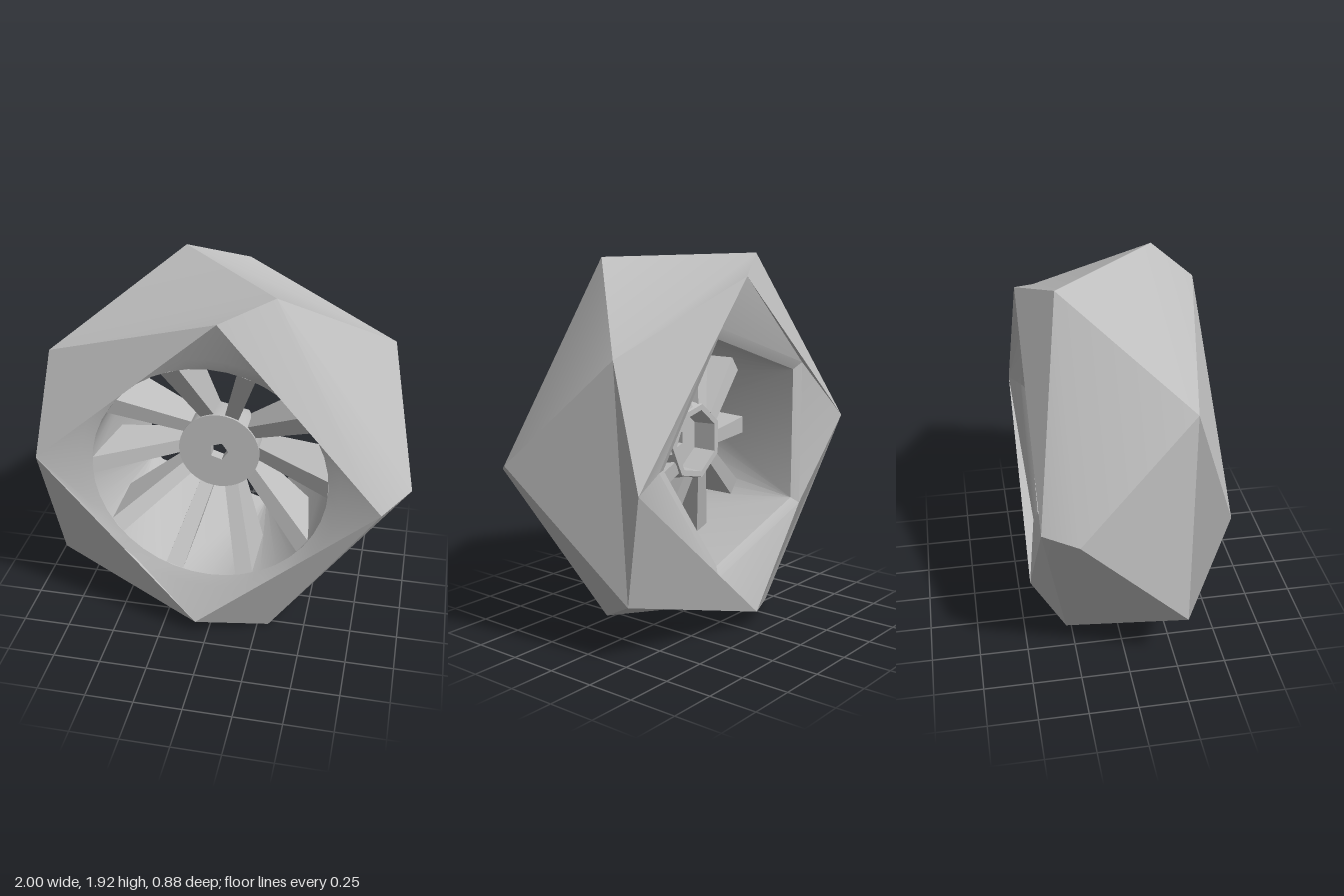
import * as THREE from 'three';
import { toCreasedNormals } from 'three/addons/utils/BufferGeometryUtils.js';

const CENTRE_Y = 0.951;

// Regular polygon ring facing +z: side count, radius, depth and start angle in degrees
const ring = (sides, radius, z, start = 0) => ({ sides, radius, z, start });

// Skin that joins rings in order; neighbouring rings may differ in side count
function loft(rings, closed, crease) {
  const pos = [];
  const angle = (r, i) => r.start + (i * 360) / r.sides;
  const put = (r, i) => {
    const a = THREE.MathUtils.degToRad(angle(r, i));
    pos.push(r.radius * Math.cos(a), r.radius * Math.sin(a), r.z);
  };
  const last = closed ? rings.length : rings.length - 1;
  for (let n = 0; n < last; n++) {
    const a = rings[n], b = rings[(n + 1) % rings.length];
    // start on the corner of b nearest to the first corner of a
    const j0 = Math.round(((a.start - b.start) * b.sides) / 360);
    let i = 0, j = j0;
    while (i < a.sides || j < j0 + b.sides) {
      const stepA = j >= j0 + b.sides ||
        (i < a.sides && angle(a, i + 0.5) <= angle(b, j + 0.5));
      put(a, i);
      put(b, j);
      if (stepA) put(a, ++i);
      else put(b, ++j);
    }
  }
  const geo = new THREE.BufferGeometry();
  geo.setAttribute('position', new THREE.Float32BufferAttribute(pos, 3));
  return toCreasedNormals(geo, crease);
}

// Tapered bar along +x that slopes back from the rim to the hub
function spokeGeometry() {
  const geo = new THREE.BoxGeometry(1, 1, 1);
  const p = geo.attributes.position;
  for (let i = 0; i < p.count; i++) {
    const outer = p.getX(i) > 0, front = p.getZ(i) > 0;
    const half = outer ? 0.047 : 0.036;
    const z = outer ? (front ? 0.358 : 0.02) : (front ? 0.07 : -0.08);
    p.setXYZ(i, outer ? 0.597 : 0.185, Math.sign(p.getY(i)) * half, z);
  }
  const flat = geo.toNonIndexed();
  flat.computeVertexNormals();
  return flat;
}

export function createModel() {
  const model = new THREE.Group();
  model.name = 'wheel';
  const grey = new THREE.MeshStandardMaterial({ color: 0xbfbfbf });
  grey.name = 'grey';

  const wheel = new THREE.Group();
  wheel.name = 'wheelBody';
  wheel.position.y = CENTRE_Y;
  model.add(wheel);

  const add = (name, geometry) => {
    const mesh = new THREE.Mesh(geometry, grey);
    mesh.name = name;
    wheel.add(mesh);
    return mesh;
  };

  // Faceted tyre: round front opening, undercut square shoulders, five-sided tread
  const frontOpening = ring(40, 0.6, 0.36);
  const backOpening = ring(5, 0.6, -0.36);
  add('tyre', loft([
    frontOpening,
    ring(40, 0.66, 0.385),
    ring(4, 0.87, 0.44, 86),
    ring(5, 1, 0.28, 72),
    ring(5, 1, -0.28, 104),
    ring(4, 0.87, -0.44, 86),
    ring(5, 0.66, -0.385),
    backOpening,
  ], false, 0.45));

  // Inner barrel, from five-sided back to round front
  add('barrel', loft([backOpening, frontOpening], false, 0.45));

  // Hub: round front cap with a five-sided bore and a hollow back
  add('hub', loft([
    ring(5, 0.05, 0.1),
    ring(40, 0.212, 0.1),
    ring(40, 0.212, 0),
    ring(7, 0.2, -0.09),
    ring(7, 0.168, -0.09),
    ring(7, 0.16, 0.04),
    ring(5, 0.05, 0.04),
  ], true, 0.45));

  // Ten spokes
  const spoke = spokeGeometry();
  for (let i = 0; i < 10; i++) {
    add('spoke', spoke).rotation.z = (i * Math.PI) / 5;
  }
  return model;
}
